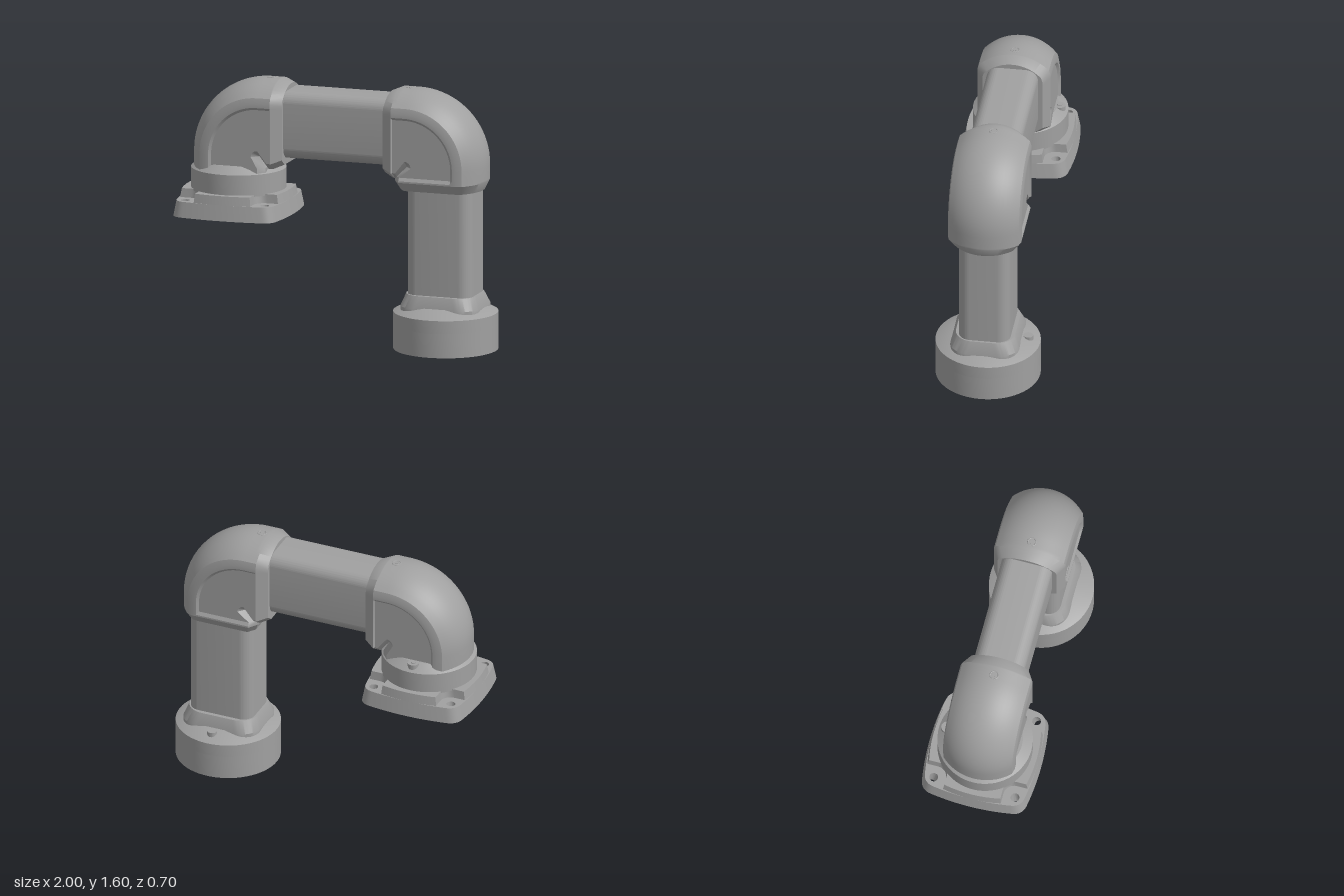
import * as THREE from 'three';
import { toCreasedNormals } from 'three/addons/utils/BufferGeometryUtils.js';

const grey = new THREE.MeshStandardMaterial({ color: 0xa0a0a0 });
grey.name = 'castGrey';

function add(group, name, geometry, x = 0, y = 0, z = 0) {
  const mesh = new THREE.Mesh(toCreasedNormals(geometry, 0.5), grey);
  mesh.name = name;
  mesh.position.set(x, y, z);
  group.add(mesh);
  return mesh;
}

// Skin over equal-length rings (anticlockwise about the direction of travel), capped at both ends
function loft(rings, flip = false) {
  const n = rings[0].length, pos = [], idx = [];
  const tri = (a, b, c) => (flip ? idx.push(a, c, b) : idx.push(a, b, c));
  rings.forEach((r) => r.forEach((p) => pos.push(p.x, p.y, p.z)));
  for (let i = 0; i < rings.length - 1; i++) {
    for (let j = 0; j < n; j++) {
      const a = i * n + j, b = i * n + (j + 1) % n;
      tri(a, b, b + n);
      tri(a, b + n, a + n);
    }
  }
  [0, rings.length - 1].forEach((i) => {
    const c = new THREE.Vector3();
    rings[i].forEach((p) => c.addScaledVector(p, 1 / n));
    const k = pos.length / 3;
    pos.push(c.x, c.y, c.z);
    for (let j = 0; j < n; j++) {
      const a = i * n + j, b = i * n + (j + 1) % n;
      if (i === 0) tri(k, b, a); else tri(k, a, b);
    }
  });
  const g = new THREE.BufferGeometry();
  g.setAttribute('position', new THREE.Float32BufferAttribute(pos, 3));
  g.setIndex(idx);
  return g;
}

function roundRect(w, h, r) {
  const s = new THREE.Shape();
  s.absarc(w - r, h - r, r, 0, Math.PI / 2);
  s.absarc(r - w, h - r, r, Math.PI / 2, Math.PI);
  s.absarc(r - w, r - h, r, Math.PI, Math.PI * 1.5);
  s.absarc(w - r, r - h, r, Math.PI * 1.5, Math.PI * 2);
  return s;
}

// Extrude a plan shape upwards
const rise = (shape, depth) => new THREE.ExtrudeGeometry(shape, { depth, bevelEnabled: false, curveSegments: 32 })
  .rotateX(-Math.PI / 2);

function circleHole(x, y, r) {
  const p = new THREE.Path();
  p.absarc(x, y, r, 0, Math.PI * 2, true);
  return p;
}

// Elbow section: domed outer crown, flat sides stepped in on the inner part
function section(inner, taper, side) {
  const half = [];
  for (let i = 0; i <= 8; i++) {
    const z = 0.215 * i / 8;
    half.push([0.16 + Math.sqrt(0.09 - z * z), z]);
  }
  half.push([0.335, 0.225], [0.31, 0.225], [0.295, side], [inner + 0.04, side], [inner, 0.165]);
  const all = half.concat(half.slice(1).reverse().map(([u, z]) => [u, -z]));
  return all.map(([u, z]) => [0.19 + (u - 0.19) * (taper ? 0.9 : 1), z * (taper ? 0.82 : 1)]);
}

function elbow(px, py, mx, lowerLeg) {
  const rings = [];
  const put = (inner, taper, side, map) => rings.push(section(inner, taper, side).map(([u, z]) => {
    const [x, y] = map(u);
    return new THREE.Vector3(px + mx * x, py + y, z);
  }));
  // horizontal socket
  [[0.15, -0.075, true, 0.225], [0.085, -0.075, false, 0.225], [0.078, -0.075, false, 0.212], [0.06, -0.075, false, 0.212]]
    .forEach(([d, inner, taper, side]) => put(inner, taper, side, (u) => [-d, u]));
  // bend
  for (let i = 0; i <= 20; i++) {
    const a = i / 20 * Math.PI / 2;
    put(0, false, 0.212, (u) => [u * Math.sin(a), u * Math.cos(a)]);
  }
  // lower leg
  lowerLeg.forEach(([d, inner, taper, side]) => put(inner, taper, side, (u) => [u, -d]));
  return loft(rings, mx < 0);
}

// Repeat one side of a plan outline four times around the centre
function fourSided(points) {
  const all = [];
  for (let k = 0; k < 4; k++) {
    points.forEach((p) => all.push(p.clone().rotateAround(new THREE.Vector2(), k * Math.PI / 2)));
  }
  return new THREE.Shape(all);
}

const bulge = (e) => new THREE.QuadraticBezierCurve(new THREE.Vector2(0.33, -e),
  new THREE.Vector2(0.37, 0), new THREE.Vector2(0.33, e)).getPoints(12);

export function createModel() {
  const model = new THREE.Group();
  model.name = 'pipeArm';
  const baseX = 0.68, plateX = -0.65;

  // Straight tubes
  const tubeShape = roundRect(0.2075, 0.158, 0.075);
  add(model, 'verticalTube', rise(tubeShape, 0.72), baseX - 0.003, 0.3, 0);
  add(model, 'horizontalTube', rise(tubeShape, 0.7).rotateZ(-Math.PI / 2), -0.34, 1.335, 0);

  // Elbows
  add(model, 'leftElbow', elbow(0.487, 1.14, 1,
    [[0.06, -0.075, false, 0.212], [0.08, -0.075, false, 0.225], [0.09, -0.075, false, 0.225], [0.147, -0.075, true, 0.225]]));
  add(model, 'rightElbow', elbow(-0.46, 1.14, -1, [[0.07, -0.04, false, 0.212], [0.15, -0.04, false, 0.212]]));

  // Screws on top of the elbows
  [-0.435, 0.455].forEach((x) => {
    add(model, 'screwRim', new THREE.TorusGeometry(0.025, 0.005, 8, 24).rotateX(Math.PI / 2), x, 1.597, 0);
    add(model, 'screwSocket', new THREE.CylinderGeometry(0.013, 0.013, 0.008, 6), x, 1.597, 0);
  });

  // Round base with a keyed bore and small screw holes
  const disc = new THREE.Shape();
  disc.absarc(0, 0, 0.32, 0, Math.PI * 2);
  const bore = [];
  for (let i = 0; i < 72; i++) {
    const a = -i / 72 * Math.PI * 2;
    const r = Math.abs(Math.sin(a)) > 0.93 ? 0.165 : 0.125;
    bore.push(new THREE.Vector2(r * Math.cos(a), r * Math.sin(a)));
  }
  disc.holes.push(new THREE.Path(bore));
  for (let k = 0; k < 4; k++) {
    const a = Math.PI / 4 + k * Math.PI / 2;
    disc.holes.push(circleHole(0.22 * Math.cos(a), 0.22 * Math.sin(a), 0.014));
  }
  add(model, 'base', rise(disc, 0.15), baseX);
  const profile = (list) => new THREE.LatheGeometry(list.map(([r, y]) => new THREE.Vector2(r, y)), 64);
  add(model, 'baseShoulder', profile([[0, 0.15], [0.32, 0.15], [0.32, 0.23], [0.22, 0.278], [0, 0.278]]), baseX);
  const neckRing = (w, d, y) => roundRect(w, d, 0.12).getPoints(10).slice(0, -1)
    .map((p) => new THREE.Vector3(p.x, y, -p.y));
  add(model, 'baseNeck', loft([neckRing(0.25, 0.212, 0.24), neckRing(0.25, 0.212, 0.272), neckRing(0.222, 0.182, 0.346)]), baseX - 0.003);
  add(model, 'baseLug', new THREE.CylinderGeometry(0.03, 0.03, 0.1, 24), baseX, 0.23, -0.247);

  // Collar above the mounting plate
  add(model, 'collar', profile([[0, 0.9], [0.29, 0.9], [0.29, 1.035], [0.23, 1.078], [0, 1.078]]), plateX);
  add(model, 'collarLug', new THREE.CylinderGeometry(0.035, 0.035, 0.1, 24), plateX, 1.028, -0.24);
  add(model, 'collarLugScrew', new THREE.CylinderGeometry(0.016, 0.016, 0.01, 6), plateX, 1.078, -0.24);

  // Tapered mounting plate: full lower layer, upper layer with a pocket at each corner
  const corner = new THREE.QuadraticBezierCurve(new THREE.Vector2(0.33, 0.25),
    new THREE.Vector2(0.322, 0.322), new THREE.Vector2(0.25, 0.33)).getPoints(8).slice(1, -1);
  const lower = fourSided([...bulge(0.25), ...corner]);
  const pocket = [];
  for (let i = 0; i <= 8; i++) {
    const a = -Math.PI / 2 - i / 8 * Math.PI / 2;
    pocket.push(new THREE.Vector2(0.26 + 0.07 * Math.cos(a), 0.26 + 0.07 * Math.sin(a)));
  }
  const upper = fourSided([...bulge(0.19), ...pocket]);
  [-0.268, 0.268].forEach((x) => [-0.268, 0.268].forEach((y) => lower.holes.push(circleHole(x, y, 0.028))));
  [lower, upper].forEach((s) => s.holes.push(circleHole(0, 0, 0.115)));
  const taperedLayer = (shape, y0, y1) => {
    const g = rise(shape, y1 - y0).translate(0, y0, 0);
    const p = g.attributes.position;
    for (let i = 0; i < p.count; i++) {
      const k = 1 - 0.5 * p.getY(i);
      p.setXYZ(i, p.getX(i) * k, p.getY(i), p.getZ(i) * k);
    }
    return g;
  };
  add(model, 'plateLower', taperedLayer(lower, 0, 0.095), plateX, 0.76, 0);
  add(model, 'plateUpper', taperedLayer(upper, 0.095, 0.15), plateX, 0.76, 0);

  return model;
}
